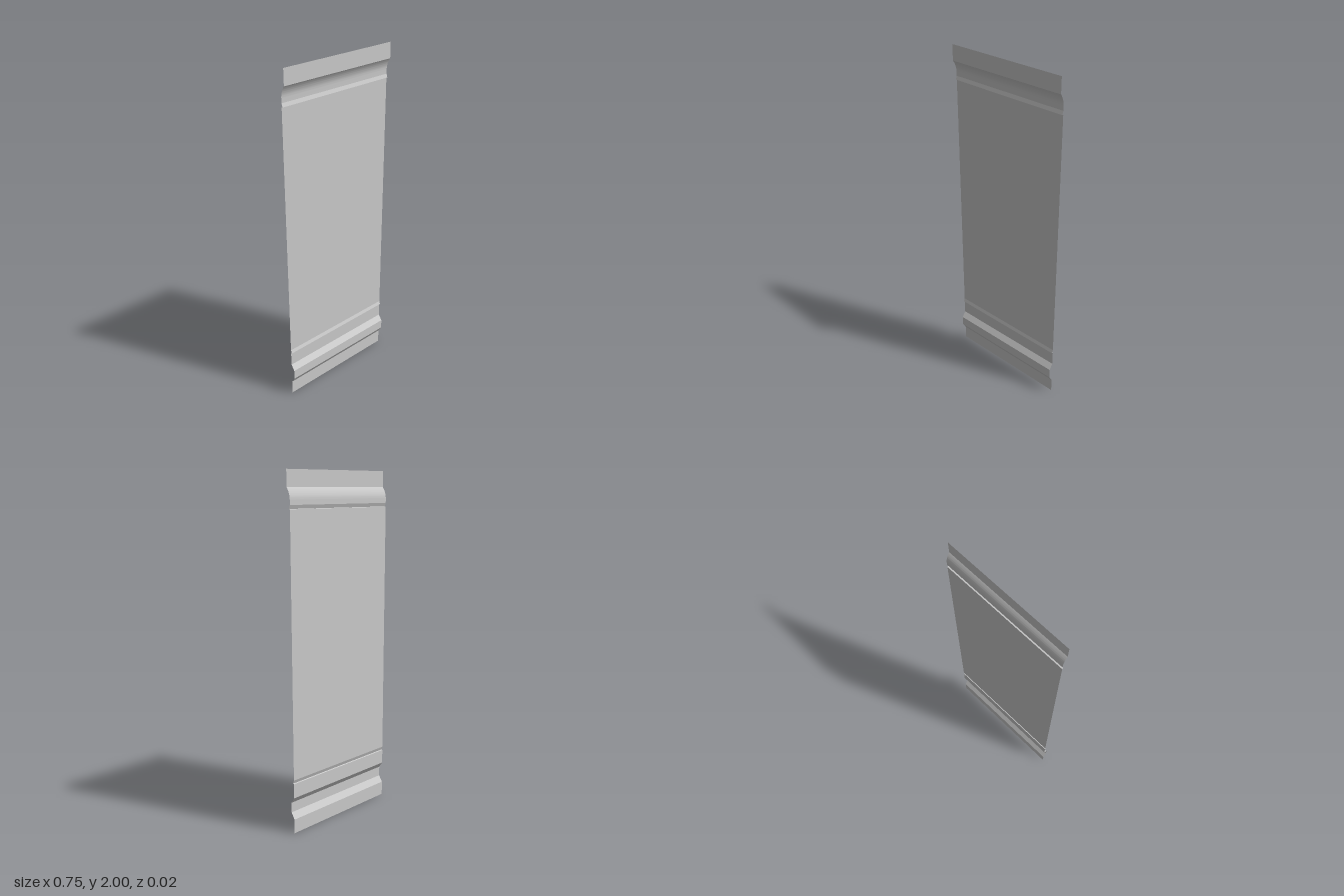
import * as THREE from 'three';
import { toCreasedNormals } from 'three/addons/utils/BufferGeometryUtils.js';

const WIDTH = 0.75;
const FRONT = 0.0117; // depth of the forward strips
const BACK = -0.0117; // depth of the main panels

const material = new THREE.MeshStandardMaterial({ color: 0xcccccc, side: THREE.DoubleSide });

// Thin sheet spanning the full width, following a [y, z] profile from top to bottom
function sheet(name, profile) {
  const geometry = new THREE.PlaneGeometry(WIDTH, 1, 1, profile.length - 1);
  const position = geometry.attributes.position;
  profile.forEach(([y, z], row) => {
    for (let side = 0; side < 2; side++) {
      const i = row * 2 + side;
      position.setXYZ(i, position.getX(i), y, z);
    }
  });
  const mesh = new THREE.Mesh(toCreasedNormals(geometry, Math.PI / 12), material);
  mesh.name = name;
  return mesh;
}

// Small crease: slopes forward going down, then steps back
function crease(name, top) {
  return sheet(name, [
    [top, BACK],
    [top - 0.02, BACK + 0.007],
    [top - 0.022, BACK],
  ]);
}

// Cove that leaves the top strip steeply and flattens into the panel
function covePoints(top, bottom, steps) {
  const points = [];
  for (let i = 0; i <= steps; i++) {
    const t = i / steps;
    points.push([
      THREE.MathUtils.lerp(top, bottom, t),
      BACK + (FRONT - BACK) * (1 - t) ** 2,
    ]);
  }
  return points;
}

export function createModel() {
  const group = new THREE.Group();
  group.name = 'sidingPanel';
  group.add(
    sheet('topStrip', [[2, FRONT], [1.91, FRONT]]),
    sheet('topCove', [...covePoints(1.91, 1.845, 12), [1.82, BACK]]),
    crease('upperCrease', 1.82),
    sheet('mainPanel', [[1.798, BACK], [0.318, BACK]]),
    crease('lowerCrease', 0.318),
    // Forward channel with sloping sides, then the bottom edge strip
    sheet('lowerChannel', [
      [0.296, BACK], [0.212, BACK], [0.178, FRONT],
      [0.12, FRONT], [0.083, BACK],
    ]),
    sheet('bottomStrip', [[0.083, BACK], [0, BACK]]),
  );
  return group;
}
